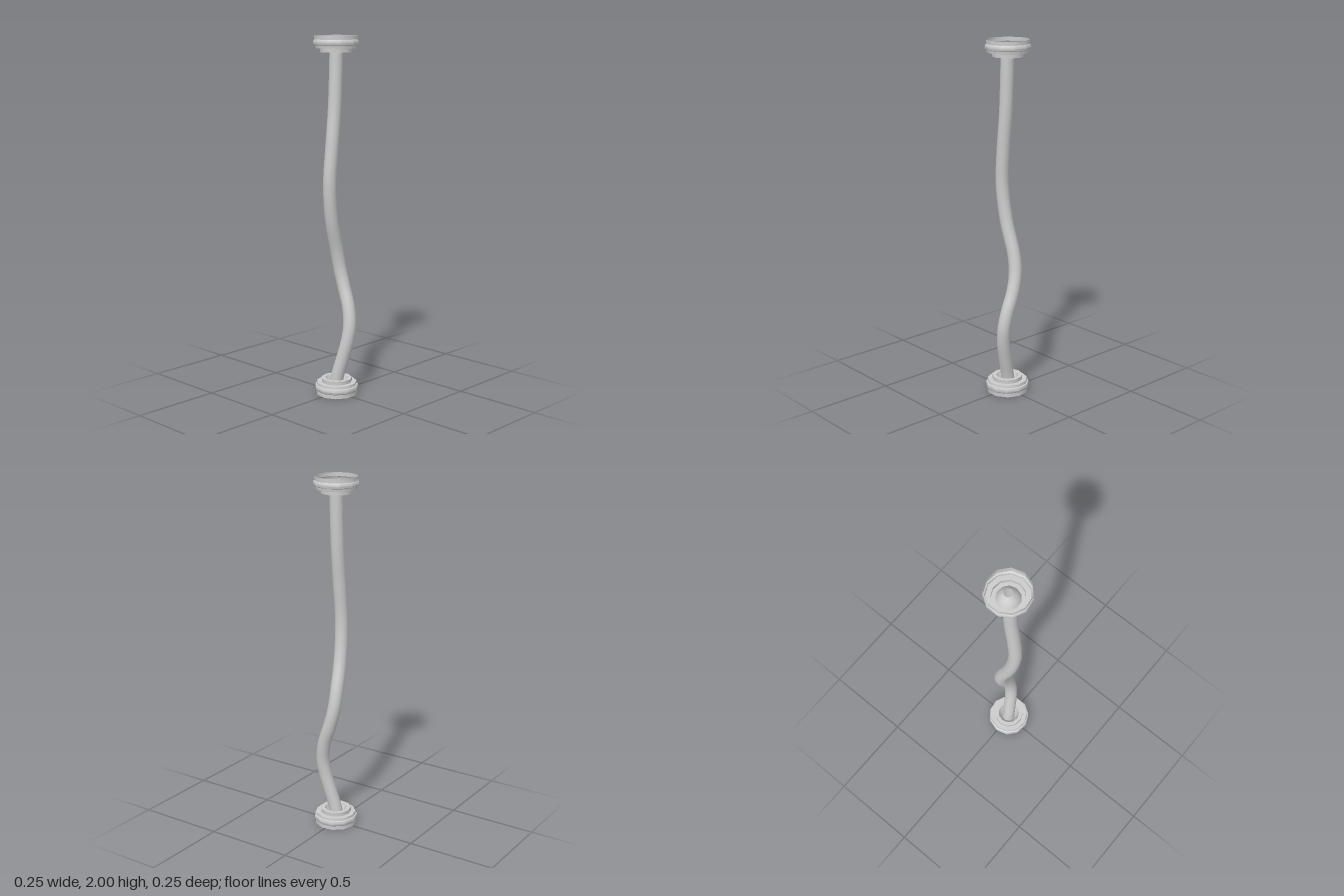
import * as THREE from 'three';
import { toCreasedNormals } from 'three/addons/utils/BufferGeometryUtils.js';

const material = new THREE.MeshStandardMaterial({ color: 0xcccccc, side: THREE.DoubleSide });

// Thin stepped collar, open at the rim, with a funnel folded inside its neck
function makeCollar(name) {
  const profile = [
    [0.024, 1.97], [0.032, 1.961], [0.045, 1.946], [0.057, 1.928], [0.064, 1.91], // funnel
    [0.086, 1.91], [0.086, 1.932],                                                // neck
    [0.113, 1.932], [0.115, 1.947],                                               // shoulder
    [0.122, 1.95], [0.125, 1.962], [0.122, 1.974],                                // bead
    [0.118, 1.978], [0.118, 2.0],                                                 // rim
  ].map(([r, y]) => new THREE.Vector2(r, y - 1));
  const geometry = toCreasedNormals(new THREE.LatheGeometry(profile, 11), 0.65);
  geometry.translate(0, 0, -0.002);
  const collar = new THREE.Mesh(geometry, material);
  collar.name = name;
  collar.position.y = 1;
  return collar;
}

export function createModel() {
  const group = new THREE.Group();
  group.name = 'bentPipe';

  // The lower collar is the upper one turned over
  const upper = makeCollar('upperCollar');
  const lower = makeCollar('lowerCollar');
  lower.rotation.x = Math.PI;
  group.add(upper, lower);

  // Wavy pipe that runs from funnel to funnel
  const path = new THREE.CatmullRomCurve3([
    [0, 0.047, -0.004], [0.003, 0.1, 0.006], [0.015, 0.2, 0.032], [0.028, 0.3, 0.056],
    [0.041, 0.4, 0.064], [0.05, 0.5, 0.045], [0.053, 0.6, 0.01], [0.047, 0.7, -0.015],
    [0.03, 0.8, -0.022], [-0.025, 1.0, -0.013], [-0.048, 1.2, -0.004], [-0.035, 1.4, 0],
    [-0.015, 1.6, 0], [-0.005, 1.8, 0], [-0.002, 1.9, 0], [0, 1.953, -0.001],
  ].map((p) => new THREE.Vector3(...p)));
  const pipe = new THREE.Mesh(new THREE.TubeGeometry(path, 64, 0.037, 16), material);
  pipe.name = 'pipe';
  group.add(pipe);

  return group;
}
